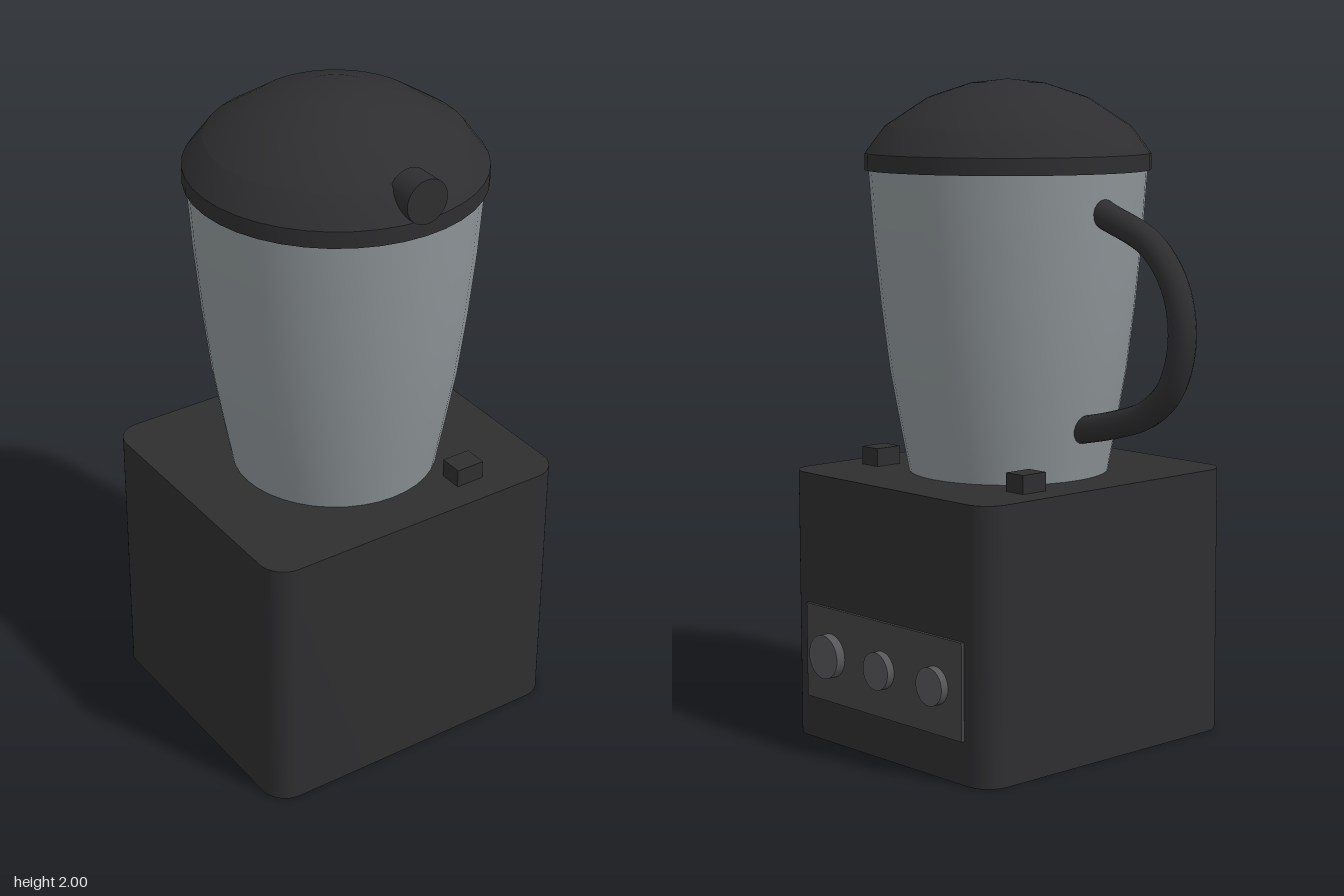
import * as THREE from 'three';
import { toCreasedNormals } from 'three/addons/utils/BufferGeometryUtils.js';

const CX = -0.02, CZ = 0.16; // shared axis of base, jar and lid

const mat = (color) => new THREE.MeshStandardMaterial({ color });
const dark = mat(0x2e2e30), glass = mat(0x8f9699), plate = mat(0x444446), dial = mat(0x565658);

function add(parent, name, geometry, material, x = 0, y = 0, z = 0) {
  const mesh = new THREE.Mesh(geometry, material);
  mesh.name = name;
  mesh.position.set(x, y, z);
  parent.add(mesh);
  return mesh;
}

const lathe = (points, crease) => toCreasedNormals(
  new THREE.LatheGeometry(points.map(([r, y]) => new THREE.Vector2(r, y)), 40), crease);

// Upright block with rounded vertical corners, standing on y = 0
function roundedBlock(w, h, d, r) {
  const x = w / 2 - r, y = d / 2 - r;
  const s = new THREE.Shape();
  s.absarc(x, y, r, 0, Math.PI / 2);
  s.absarc(-x, y, r, Math.PI / 2, Math.PI);
  s.absarc(-x, -y, r, Math.PI, Math.PI * 1.5);
  s.absarc(x, -y, r, Math.PI * 1.5, Math.PI * 2);
  s.closePath();
  const g = new THREE.ExtrudeGeometry(s, { depth: h, bevelEnabled: false, curveSegments: 8 });
  return toCreasedNormals(g.rotateX(-Math.PI / 2), 0.6);
}

export function createModel() {
  const model = new THREE.Group();
  model.name = 'blender';

  // Motor base
  add(model, 'motorBase', roundedBlock(1, 0.82, 0.9, 0.08), dark, CX, 0, CZ);

  // Control panel with three dials on the left side
  add(model, 'controlPanel', new THREE.BoxGeometry(0.03, 0.29, 0.71), plate, 0.475, 0.275, CZ);
  for (const [z, r, end] of [[0.4, 0.067, 0.52], [0.16, 0.057, 0.515], [-0.08, 0.057, 0.515]]) {
    const g = new THREE.CylinderGeometry(r, r, end - 0.48, 32).rotateZ(-Math.PI / 2);
    add(model, 'dial', g, dial, (end + 0.48) / 2, 0.275, z);
  }

  // Locking clips beside the jar
  for (const side of [-1, 1]) {
    add(model, 'clip', new THREE.BoxGeometry(0.09, 0.065, 0.072), dark, 0.213, 0.843, CZ + side * 0.328);
  }

  // Tapered jar
  add(model, 'jar', lathe([
    [0, 0.815], [0.303, 0.815], [0.33, 0.96], [0.36, 1.13], [0.385, 1.33],
    [0.405, 1.53], [0.42, 1.74], [0, 1.74],
  ], 0.6), glass, CX, 0, CZ);

  // Domed lid with a rim
  add(model, 'lid', lathe([
    [0, 1.73], [0.43, 1.73], [0.43, 1.78], [0.37, 1.86], [0.24, 1.945], [0.11, 1.988], [0, 2],
  ], 0.35), dark, CX, 0, CZ);

  // Pouring stub at the front of the lid
  add(model, 'lidSpout', new THREE.CylinderGeometry(0.066, 0.066, 0.085, 32).rotateX(Math.PI / 2),
    dark, -0.023, 1.835, 0.553);

  // Curved rear handle, both ends sunk into the jar
  const path = new THREE.CatmullRomCurve3([
    [1.64, -0.19], [1.61, -0.26], [1.535, -0.44], [1.42, -0.535], [1.27, -0.563],
    [1.13, -0.52], [1.05, -0.43], [1.005, -0.3], [0.965, -0.12],
  ].map(([y, z]) => new THREE.Vector3(CX, y, z)));
  add(model, 'handle', new THREE.TubeGeometry(path, 48, 0.041, 16), dark);

  return model;
}
